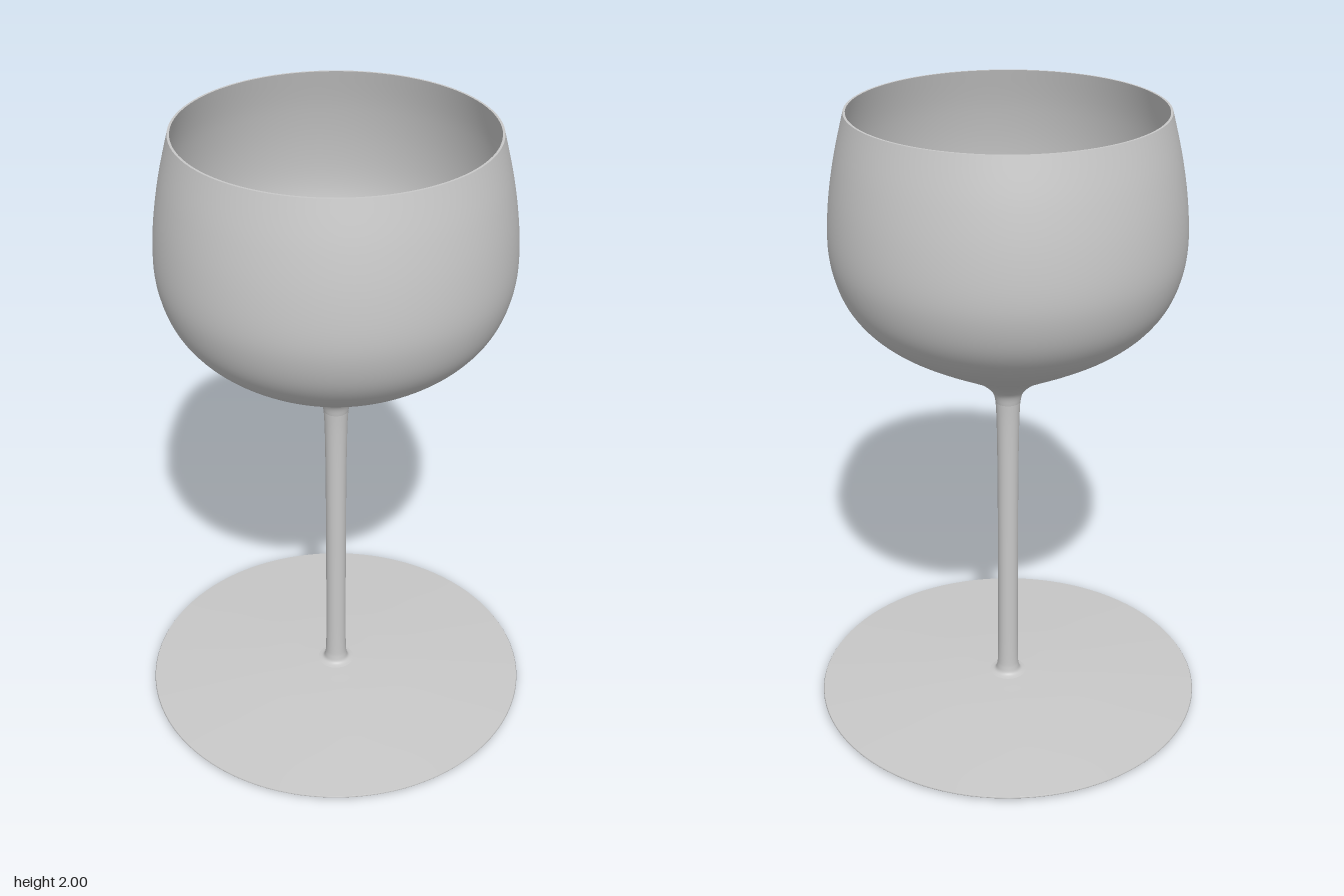
import * as THREE from 'three';

const SEGMENTS = 96;

// Smooth profile through [radius, height] points
function smooth(points, divisions) {
  return new THREE.SplineCurve(points.map(([r, y]) => new THREE.Vector2(r, y))).getPoints(divisions)
    .map((p) => new THREE.Vector2(Math.max(p.x, 0), p.y));
}

export function createModel() {
  const model = new THREE.Group();
  model.name = 'wineGlass';
  const glass = new THREE.MeshStandardMaterial({ color: 0xc8c8c8 });
  glass.name = 'pale grey';

  const addLathe = (name, profile) => {
    const mesh = new THREE.Mesh(new THREE.LatheGeometry(profile, SEGMENTS), glass);
    mesh.name = name;
    model.add(mesh);
  };
  const line = (points) => points.map(([r, y]) => new THREE.Vector2(r, y));

  // Foot: nearly flat underside, thin edge and gently domed top
  addLathe('footUnderside', line([[0, 0.004], [0.2, 0.004], [0.42, 0.008], [0.628, 0.016]]));
  addLathe('footEdge', line([[0.628, 0.016], [0.63, 0.019], [0.628, 0.022]]));
  addLathe('footTop', smooth([[0.628, 0.022], [0.45, 0.034], [0.25, 0.046], [0.12, 0.051], [0.06, 0.053]], 24));

  // Slim stem flaring into the foot and the bowl
  addLathe('stem', smooth([
    [0.06, 0.053], [0.044, 0.058], [0.037, 0.075], [0.034, 0.12], [0.033, 0.3],
    [0.033, 0.6], [0.034, 0.85], [0.036, 1.0], [0.039, 1.07],
  ], 40));

  // Round bowl, widest below the middle and narrowing to the rim
  const wall = [
    [0.28, 1.256], [0.375, 1.315], [0.445, 1.375], [0.495, 1.445], [0.525, 1.53],
    [0.535, 1.62], [0.527, 1.74], [0.505, 1.87], [0.473, 2.0],
  ];
  addLathe('bowlOutside', smooth([[0.039, 1.07], [0.052, 1.11], [0.105, 1.157], [0.19, 1.206], ...wall], 64));
  addLathe('rim', line([[0.473, 2.0], [0.466, 2.0]]));
  const inside = wall.map(([r, y]) => [r - 0.007, y === 2 ? y : y + 0.006]).reverse();
  addLathe('bowlInside', smooth([...inside, [0.18, 1.213], [0.09, 1.167], [0.04, 1.145], [0, 1.135]], 64));

  return model;
}
